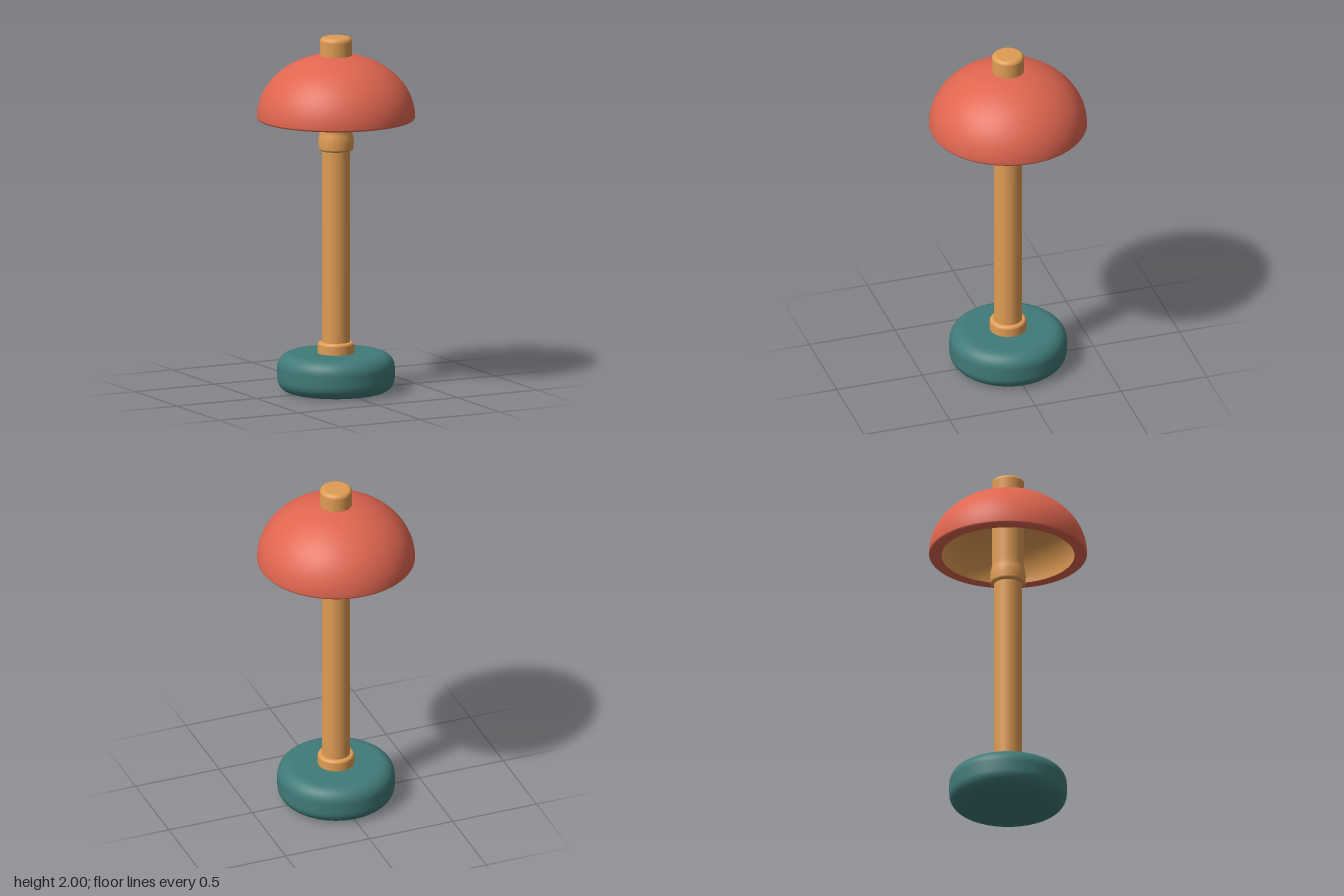
import * as THREE from 'three';

const SEGMENTS = 64;

function material(name, color) {
  const m = new THREE.MeshStandardMaterial({ color });
  m.name = name;
  return m;
}

// Rounds a profile corner into an elliptical quarter arc, running upwards.
function corner(cx, cy, rx, ry, from, to, steps = 8) {
  return Array.from({ length: steps + 1 }, (_, i) => {
    const a = from + (to - from) * i / steps;
    return [cx + rx * Math.cos(a), cy + ry * Math.sin(a)];
  });
}

// A turned disc or rod with softly rounded rims.
function turnedProfile(radius, y0, y1, bottom, top) {
  return [
    [0, y0],
    [(radius - bottom) * 0.97, y0],
    ...corner(radius - bottom, y0 + bottom, bottom, bottom, -Math.PI / 2, 0),
    ...corner(radius - top, y1 - top, top, top, 0, Math.PI / 2),
    [(radius - top) * 0.97, y1],
    [0, y1],
  ];
}

export function createModel() {
  const model = new THREE.Group();
  model.name = 'tableLamp';
  const red = material('coral red', 0xe06650);
  const wood = material('warm wood', 0xe09c54);
  const teal = material('deep teal', 0x407a78);

  function lathe(name, profile, mat) {
    const points = profile.map(([x, y]) => new THREE.Vector2(x, y));
    const mesh = new THREE.Mesh(new THREE.LatheGeometry(points, SEGMENTS), mat);
    mesh.name = name;
    model.add(mesh);
  }

  // Cushion-like base
  lathe('base', turnedProfile(0.327, 0, 0.217, 0.075, 0.08), teal);

  // Pole with its foot collar
  lathe('footCollar', turnedProfile(0.102, 0.2, 0.28, 0.01, 0.018), wood);
  lathe('pole', turnedProfile(0.079, 0.2, 1.4, 0.01, 0.01), wood);

  // Socket: rounded collar narrowing into a stem that ends as the top knob
  lathe('socketAndKnob', [
    [0, 1.36], [0.08, 1.36],
    ...corner(0.082, 1.376, 0.016, 0.016, -Math.PI / 2, 0, 5),
    [0.099, 1.41], [0.097, 1.435], [0.092, 1.455], [0.09, 1.47], [0.09, 1.5],
    ...corner(0.066, 1.976, 0.024, 0.024, 0, Math.PI / 2),
    [0.062, 2], [0, 2],
  ], wood);

  // Domed shade, its flat rim, and the inner lining
  lathe('shadeDome', [
    [0.434, 1.54], [0.439, 1.546],
    ...corner(0, 1.55, 0.44, 0.355, 0, Math.PI / 2, 28),
  ], red);
  lathe('shadeRim', [[0.37, 1.54], [0.434, 1.54]], red);
  lathe('shadeLining', corner(0, 1.54, 0.37, 0.3, Math.PI / 2, 0, 24), wood);

  return model;
}
